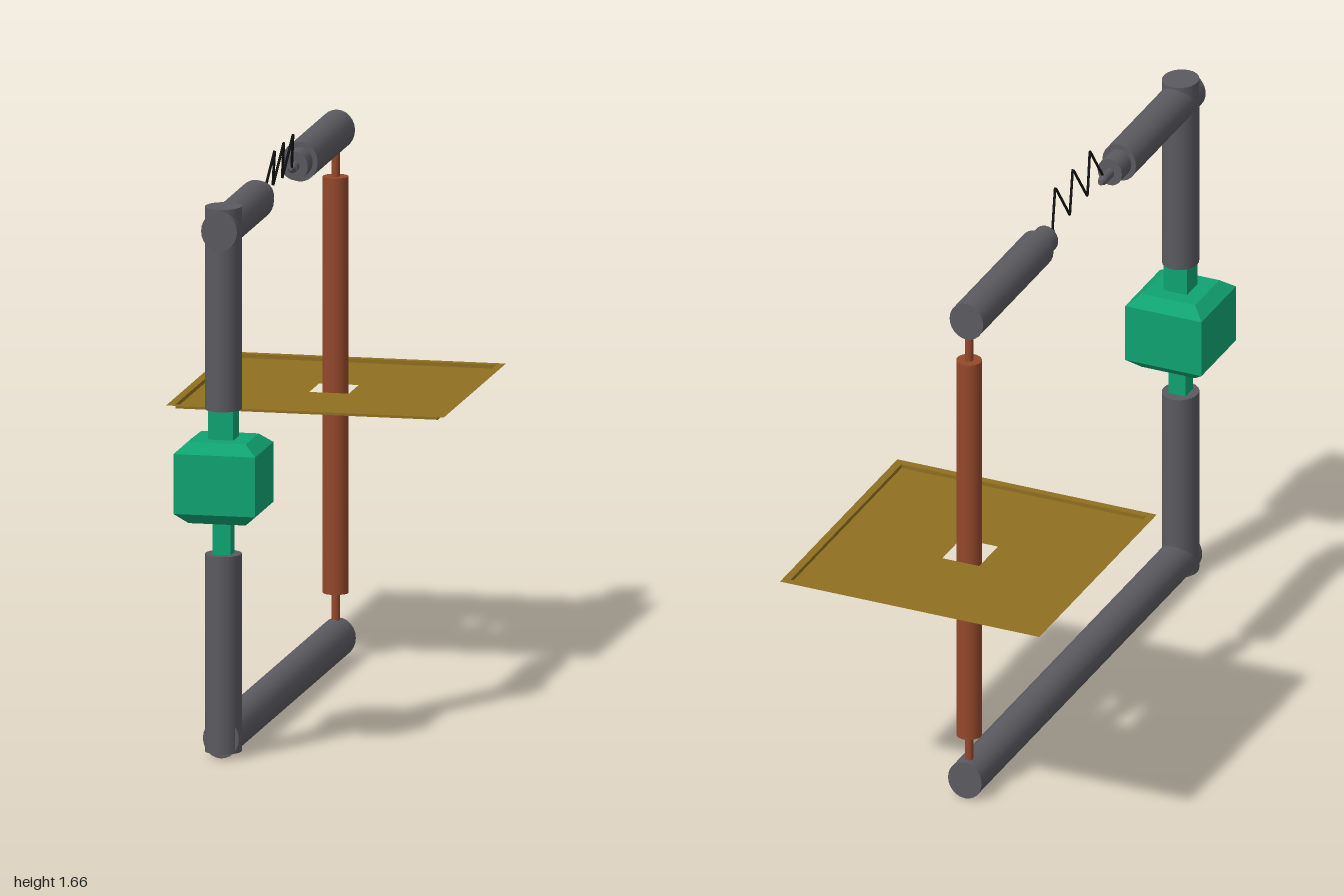
import * as THREE from 'three';

const mat = (color, extra = {}) => new THREE.MeshStandardMaterial({ color, ...extra });

export function createModel() {
  const model = new THREE.Group();
  const grey = mat(0x5a5a60);
  const green = mat(0x10a372, { flatShading: true });
  const copper = mat(0x93482b);
  const brass = mat(0x8f7020, { side: THREE.DoubleSide });
  const black = mat(0x111111);

  const add = (name, geometry, material, x = 0, y = 0, z = 0) => {
    const mesh = new THREE.Mesh(geometry, material);
    mesh.name = name;
    mesh.position.set(x, y, z);
    model.add(mesh);
    return mesh;
  };

  // Round bars, a little narrower across x than along the frame
  const upright = (name, r, y0, y1, z, material, sx = 0.91) => {
    const g = new THREE.CylinderGeometry(r, r, y1 - y0, 24).scale(sx, 1, 1);
    return add(name, g, material, 0, (y0 + y1) / 2, z);
  };
  const level = (name, r0, r1, z0, z1, y) => {
    const g = new THREE.CylinderGeometry(r1, r0, z1 - z0, 24).rotateX(Math.PI / 2).scale(0.91, 1, 1);
    return add(name, g, grey, 0, y, (z0 + z1) / 2);
  };

  const R = 0.058, postZ = 0.882, topY = 1.548, coilZ = -0.588;

  // Frame pipes
  upright('lowerPost', R, 0.02, 0.597, postZ, grey);
  upright('upperPost', R, 1.02, 1.612, postZ, grey);
  level('basePipe', R, R, -0.618, 0.916, 0.062);
  level('frontTopPipe', R, R, 0.455, 0.94, topY);
  level('rearTopPipe', R, R, -0.607, -0.118, topY);

  // Stepped electrodes
  level('frontElectrodeCollar', 0.042, 0.042, 0.39, 0.456, topY);
  level('frontElectrodeTip', 0.015, 0.015, 0.34, 0.391, topY - 0.002);
  level('frontElectrodePoint', 0.009, 0.015, 0.325, 0.341, topY - 0.002);
  level('rearElectrodeCollar', 0.042, 0.042, -0.119, -0.053, topY);
  level('rearElectrodeTip', 0.015, 0.015, -0.054, -0.02, topY);
  level('rearElectrodePoint', 0.015, 0.004, -0.021, 0, topY);

  // Zigzag spark wire, leaning slightly to +x at its peaks
  const wire = new THREE.CurvePath();
  const zs = [0.353, 0.291, 0.235, 0.172, 0.112, 0.05, -0.01];
  const points = zs.map((z, i) => new THREE.Vector3(i % 2 ? 0.018 : 0, i % 2 ? 1.661 : 1.545, z));
  for (let i = 1; i < points.length; i++) wire.add(new THREE.LineCurve3(points[i - 1], points[i]));
  add('sparkWire', new THREE.TubeGeometry(wire, 96, 0.004, 6), black);

  // Four-sided body with bevelled top and bottom
  const profile = [[0, 0.698], [0.084, 0.698], [0.12, 0.73], [0.12, 0.905], [0.084, 0.935], [0, 0.935]]
    .map(([half, y]) => new THREE.Vector2(half * Math.SQRT2, y));
  add('body', new THREE.LatheGeometry(profile, 4).rotateY(Math.PI / 4), green, 0, 0, postZ);
  add('upperNeck', new THREE.BoxGeometry(0.074, 0.1, 0.074), green, 0, 0.975, postZ);
  add('lowerNeck', new THREE.BoxGeometry(0.054, 0.12, 0.05), green, 0, 0.645, postZ);

  // Copper coil on its thin rod
  upright('coil', 0.037, 0.198, 1.415, coilZ, copper, 1);
  upright('coilRod', 0.012, 0.08, 1.53, coilZ, copper, 1);

  // Square tray plate with a hole around the coil, upstanding edge and flat lip
  const plateZ = -0.593, inner = 0.385, outer = 0.408;
  const rect = (Type, x0, y0, x1, y1) => new Type([
    [x0, y0], [x1, y0], [x1, y1], [x0, y1]].map(([x, y]) => new THREE.Vector2(x, y)));
  const floor = rect(THREE.Shape, -inner, -inner, inner, inner);
  floor.holes.push(rect(THREE.Path, -0.064, -0.064, 0.052, 0.066));
  const lip = rect(THREE.Shape, -outer, -outer, outer, outer);
  lip.holes.push(rect(THREE.Path, -inner, -inner, inner, inner));
  const flat = (shape) => new THREE.ShapeGeometry(shape).rotateX(-Math.PI / 2);
  add('plateFloor', flat(floor), brass, 0, 0.793, plateZ);
  add('plateLip', flat(lip), brass, 0, 0.805, plateZ);
  for (let i = 0; i < 4; i++) {
    const wall = new THREE.PlaneGeometry(inner * 2, 0.012).translate(0, 0, inner).rotateY(i * Math.PI / 2);
    add('plateEdge' + (i + 1), wall, brass, 0, 0.799, plateZ);
  }

  return model;
}
